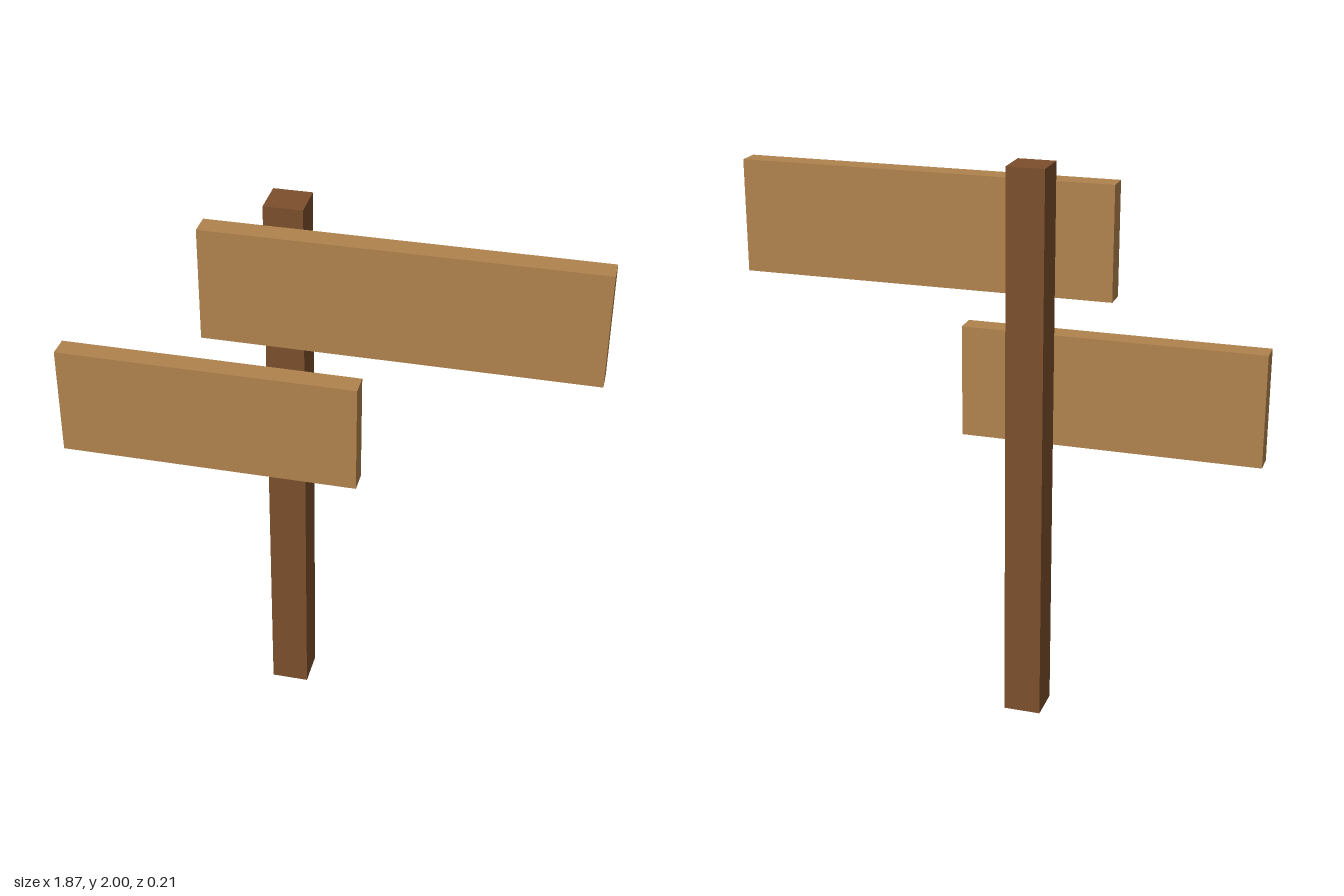
import * as THREE from 'three';

export function createModel() {
  const model = new THREE.Group();
  model.name = 'signpost';

  const darkWood = new THREE.MeshStandardMaterial({ color: 0x7c4f2c });
  darkWood.name = 'dark wood';
  const lightWood = new THREE.MeshStandardMaterial({ color: 0xb0824d });
  lightWood.name = 'light wood';

  // Adds a box spanning the given [min, max] range on each axis
  function addBox(name, material, [x0, x1], [y0, y1], [z0, z1]) {
    const mesh = new THREE.Mesh(new THREE.BoxGeometry(x1 - x0, y1 - y0, z1 - z0), material);
    mesh.position.set((x0 + x1) / 2, (y0 + y1) / 2, (z0 + z1) / 2);
    mesh.name = name;
    model.add(mesh);
  }

  // Square upright post
  addBox('post', darkWood, [-0.2, -0.067], [0, 2], [-0.107, 0.027]);

  // Two boards fixed to the front of the post, pointing opposite ways
  const boardDepth = [0.027, 0.107];
  addBox('upperBoard', lightWood, [-0.4, 0.933], [1.533, 1.933], boardDepth);
  addBox('lowerBoard', lightWood, [-0.933, 0.133], [1, 1.4], boardDepth);

  return model;
}
